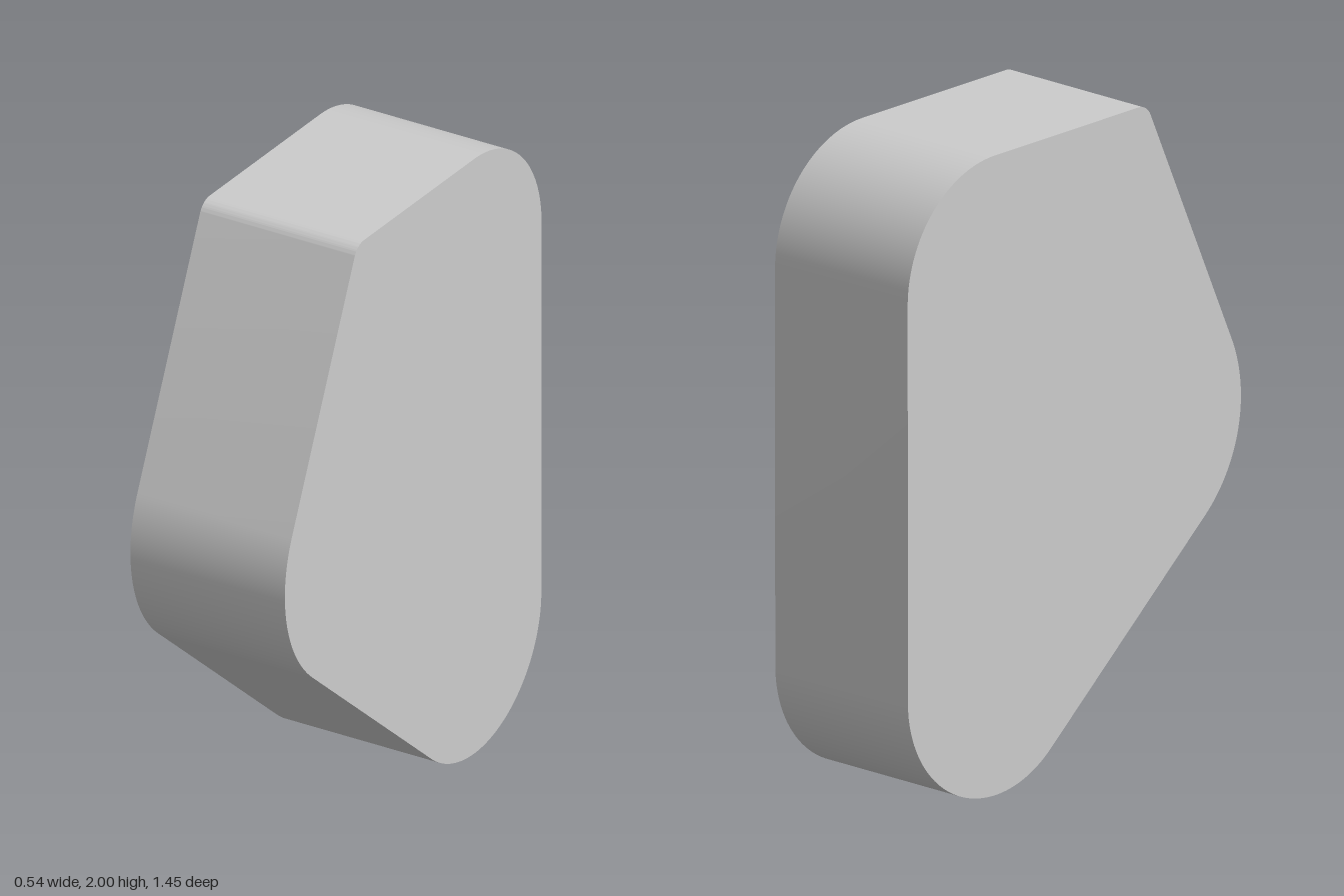
import * as THREE from 'three';
import { toCreasedNormals } from 'three/addons/utils/BufferGeometryUtils.js';

const WIDTH = 0.54;

// Corner rounds of the side profile, counterclockwise: [-z, y, radius]
const CORNERS = [
  [0.345, 0.377, 0.377], // bottom
  [0.34, 1.612, 0.383],  // top back
  [-0.28, 1.942, 0.058], // top front
  [-0.28, 1.0, 0.446],   // front bulge
];

// Angle of the outward normal of the outer tangent from round a to round b
function tangentAngle(a, b) {
  const dx = b[0] - a[0], dy = b[1] - a[1];
  return Math.atan2(dy, dx) - Math.acos((a[2] - b[2]) / Math.hypot(dx, dy));
}

// Outline made of arcs joined by their tangents
function roundedProfile(corners) {
  const shape = new THREE.Shape();
  const n = corners.length;
  corners.forEach((c, i) => {
    const start = tangentAngle(corners[(i + n - 1) % n], c);
    const end = tangentAngle(c, corners[(i + 1) % n]);
    shape.absarc(c[0], c[1], c[2], start, end, false);
  });
  shape.closePath();
  return shape;
}

export function createModel() {
  const group = new THREE.Group();
  group.name = 'roundedBlock';

  // Solid slab, extruded across the width
  const geometry = new THREE.ExtrudeGeometry(roundedProfile(CORNERS), {
    depth: WIDTH, bevelEnabled: false, curveSegments: 24,
  });
  geometry.translate(0, 0, -WIDTH / 2);
  geometry.rotateY(Math.PI / 2);

  const body = new THREE.Mesh(
    toCreasedNormals(geometry, 0.5),
    new THREE.MeshStandardMaterial({ color: 0xcccccc }),
  );
  body.name = 'body';
  group.add(body);
  return group;
}
